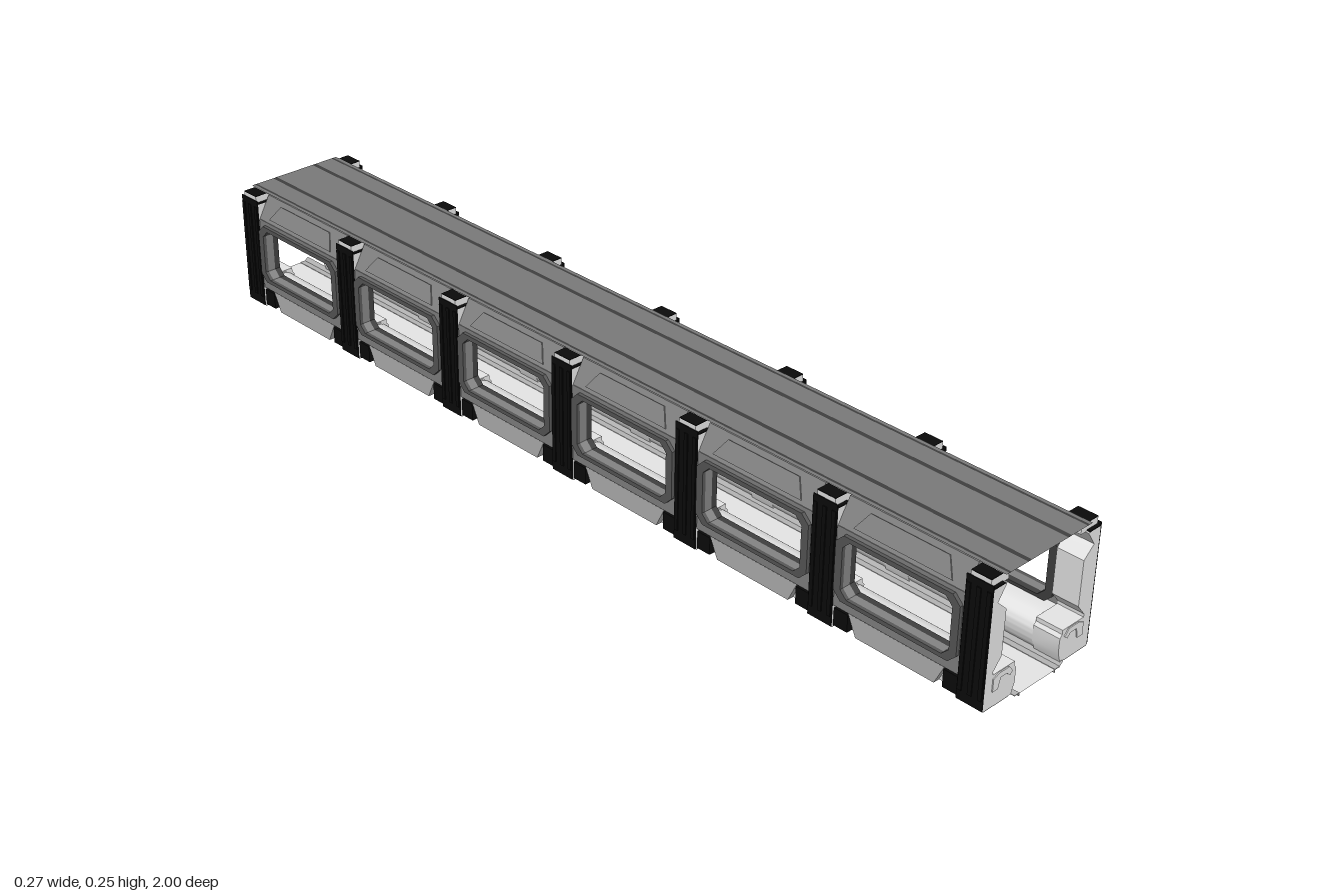
import * as THREE from 'three';
import { toCreasedNormals } from 'three/addons/utils/BufferGeometryUtils.js';

const mat = (name, color, side = THREE.FrontSide) =>
  Object.assign(new THREE.MeshStandardMaterial({ color, side }), { name });

export function createModel() {
  const light = mat('light lining', 0xe6e6e6, THREE.DoubleSide);
  const midGrey = mat('floor edge grey', 0xb4b4b4, THREE.DoubleSide);
  const roofGrey = mat('roof grey', 0x7a7a7a, THREE.DoubleSide);
  const wallGrey = mat('wall grey', 0x848484);
  const frameGrey = mat('frame grey', 0x585858);
  const dark = mat('dark trim', 0x404040, THREE.DoubleSide);
  const black = mat('black rib', 0x0b0b0b);

  const PITCH = 0.3125, MID = 0.0325, LEN = 1.93, RIB = 0.052;
  const model = new THREE.Group();
  model.name = 'enclosedWalkway';

  const add = (parent, name, geo, material, x = 0, y = 0, z = 0) => {
    const m = new THREE.Mesh(geo, material);
    m.name = name;
    m.position.set(x, y, z);
    parent.add(m);
    return m;
  };
  const box = (parent, name, w, h, d, material, x, y, z) =>
    add(parent, name, new THREE.BoxGeometry(w, h, d), material, x, y, z);
  const poly = (pts) => new THREE.Shape(pts.map((p) => new THREE.Vector2(...p)));

  // Cross-section in x,y drawn along z, centred on z
  const along = (parent, name, shape, length, material, z = 0) => {
    const g = new THREE.ExtrudeGeometry(shape, { depth: length, bevelEnabled: false, curveSegments: 10 });
    return add(parent, name, toCreasedNormals(g.translate(0, 0, -length / 2), 0.5), material, 0, 0, z);
  };
  // Outline in z,y with thickness running inward from the outer x
  const plate = (parent, name, shape, outer, thick, material) => {
    const g = new THREE.ExtrudeGeometry(shape, { depth: thick, bevelEnabled: false });
    return add(parent, name, g.rotateY(-Math.PI / 2), material, outer);
  };
  // Rectangle with cut corners
  const octagon = (half, y0, y1, c) => [
    [-half + c, y0], [half - c, y0], [half, y0 + c], [half, y1 - c],
    [half - c, y1], [-half + c, y1], [-half, y1 - c], [-half, y0 + c],
  ];
  const frame = (outer, hole) => {
    const s = poly(outer);
    s.holes.push(new THREE.Path(hole.map((p) => new THREE.Vector2(...p))));
    return s;
  };

  const ribShape = poly([
    [0.131, 0.07], [0.131, 0.236], [0.1, 0.236], [0.119, 0.208], [0.11, 0.2],
    [0.096, 0.187], [0.096, 0.1], [0.114, 0.078], [0.114, 0.07],
  ]);
  const capShape = poly([[0.131, 0.235], [0.131, 0.251], [0.089, 0.251], [0.089, 0.235]]);
  const blockShape = poly([
    [0.131, 0.01], [0.131, 0.072], [0.06, 0.072], [0.06, 0.064], [0.055, 0.058], [0.055, 0.03], [0.062, 0.01],
  ]);
  const bracketShape = poly([
    [0.113, 0.04], [0.113, 0.064], [0.1, 0.07], [0.075, 0.07], [0.065, 0.058],
    [0.072, 0.052], [0.08, 0.06], [0.095, 0.06], [0.1, 0.04],
  ]);
  const benchShape = new THREE.Shape();
  benchShape.moveTo(0.116, 0.012);
  benchShape.lineTo(0.116, 0.07);
  benchShape.lineTo(0.1, 0.07);
  benchShape.bezierCurveTo(0.068, 0.07, 0.055, 0.058, 0.055, 0.042);
  benchShape.quadraticCurveTo(0.055, 0.022, 0.064, 0.012);
  benchShape.closePath();
  const hole = octagon(0.112, 0.08, 0.188, 0.014);

  function makeRib(z) {
    const rib = new THREE.Group();
    rib.name = 'rib';
    rib.position.z = z;
    along(rib, 'ribArch', ribShape, RIB, light);
    along(rib, 'ribCap', capShape, RIB * 0.75, light);
    along(rib, 'ribBase', blockShape, RIB, light);
    // raised bracket on both faces of the base
    for (const s of [-1, 1]) along(rib, 'baseBracket', bracketShape, 0.004, light, s * (RIB / 2));
    // black outer cladding with vertical fins
    box(rib, 'ribCladding', 0.002, 0.232, RIB, black, 0.132, 0.127, 0);
    box(rib, 'ribShoulder', 0.028, 0.002, RIB, black, 0.118, 0.237, 0);
    box(rib, 'ribTop', 0.026, 0.0015, RIB * 0.75, black, 0.118, 0.2515, 0);
    for (const f of [-0.02, 0, 0.02]) box(rib, 'ribFin', 0.003, 0.2, 0.008, black, 0.1335, 0.13, f);
    box(rib, 'ribFoot', 0.06, 0.001, RIB, black, 0.1, 0.0095, 0);
    return rib;
  }

  function makeBay(z) {
    const bay = new THREE.Group();
    bay.name = 'windowBay';
    bay.position.z = z;
    const L = PITCH - RIB;
    // wall, projecting frame and inner lining around the open window
    plate(bay, 'windowWall', frame(octagon(L / 2, 0.062, 0.205, 0.0005), hole), 0.13, 0.016, wallGrey);
    plate(bay, 'windowFrame', frame(octagon(0.127, 0.072, 0.197, 0.016), hole), 0.137, 0.007, frameGrey);
    plate(bay, 'innerFrame', frame(octagon(0.127, 0.074, 0.196, 0.014), hole), 0.114, 0.012, dark);
    // sloping eave with a raised panel
    along(bay, 'eave', poly([[0.13, 0.203], [0.104, 0.25], [0.094, 0.25], [0.117, 0.203]]), L, wallGrey);
    const eavePanel = plate(bay, 'eavePanel',
      poly([[-0.1, -0.017], [0.1, -0.017], [0.08, 0.017], [-0.08, 0.017]]), 0, 0.004, wallGrey);
    eavePanel.position.set(0.1195, 0.227, 0);
    eavePanel.rotation.z = Math.atan2(0.026, 0.047);
    // lower ledge and skirt
    along(bay, 'ledge', poly([[0.13, 0.052], [0.13, 0.064], [0.1, 0.068], [0.1, 0.052]]), L, wallGrey);
    along(bay, 'skirtBack', poly([[0.122, 0.052], [0.1, 0.052], [0.1, 0.012], [0.112, 0.012]]), L, dark);
    plate(bay, 'skirtPanel', poly([[-0.082, 0.011], [0.082, 0.011], [0.1, 0.05], [-0.1, 0.05]]), 0.128, 0.02, midGrey);
    for (const s of [-1, 1]) {
      box(bay, 'cornerFoot', 0.05, 0.034, 0.03, black, 0.104, 0.03, s * (L / 2 - 0.016));
    }
    // rounded bench inside
    along(bay, 'bench', benchShape, L, light);
    return bay;
  }

  // The wall is the same on both sides, turned about its middle
  for (const [name, turn] of [['leftWall', 0], ['rightWall', Math.PI]]) {
    const side = new THREE.Group();
    side.name = name;
    side.position.z = MID;
    side.rotation.y = turn;
    for (let i = -3; i <= 3; i++) side.add(makeRib(i * PITCH));
    for (let i = -3; i < 3; i++) side.add(makeBay((i + 0.5) * PITCH));
    model.add(side);
  }

  // Roof sheets separated by dark grooves
  const edges = [-0.106, -0.099, -0.094, -0.054, -0.045, 0.045, 0.054, 0.094, 0.099, 0.106];
  for (let i = 0; i < edges.length - 1; i++) {
    const w = edges[i + 1] - edges[i];
    const isGroove = i % 2 === 1;
    add(model, isGroove ? 'roofGroove' : 'roofSheet', new THREE.PlaneGeometry(w, LEN).rotateX(-Math.PI / 2),
      isGroove ? dark : roofGrey, (edges[i] + edges[i + 1]) / 2, 0.2535, MID);
  }

  // Floor deck, longer at the back, with edges rising to the benches
  add(model, 'floorDeck', new THREE.PlaneGeometry(0.114, 2).rotateX(-Math.PI / 2), light, 0, 0.005, 0);
  for (const s of [-1, 1]) {
    box(model, 'floorEdge', 0.012, 0.001, 2, midGrey, s * 0.051, 0.0058, 0);
    box(model, 'floorLip', 0.002, 0.005, 2, midGrey, s * 0.045, 0.0025, 0);
    const rise = add(model, 'floorRise', new THREE.PlaneGeometry(0.012, 2).rotateX(-Math.PI / 2), midGrey,
      s * 0.0605, 0.0085, 0);
    rise.rotation.z = s * 0.75;
  }
  return model;
}
